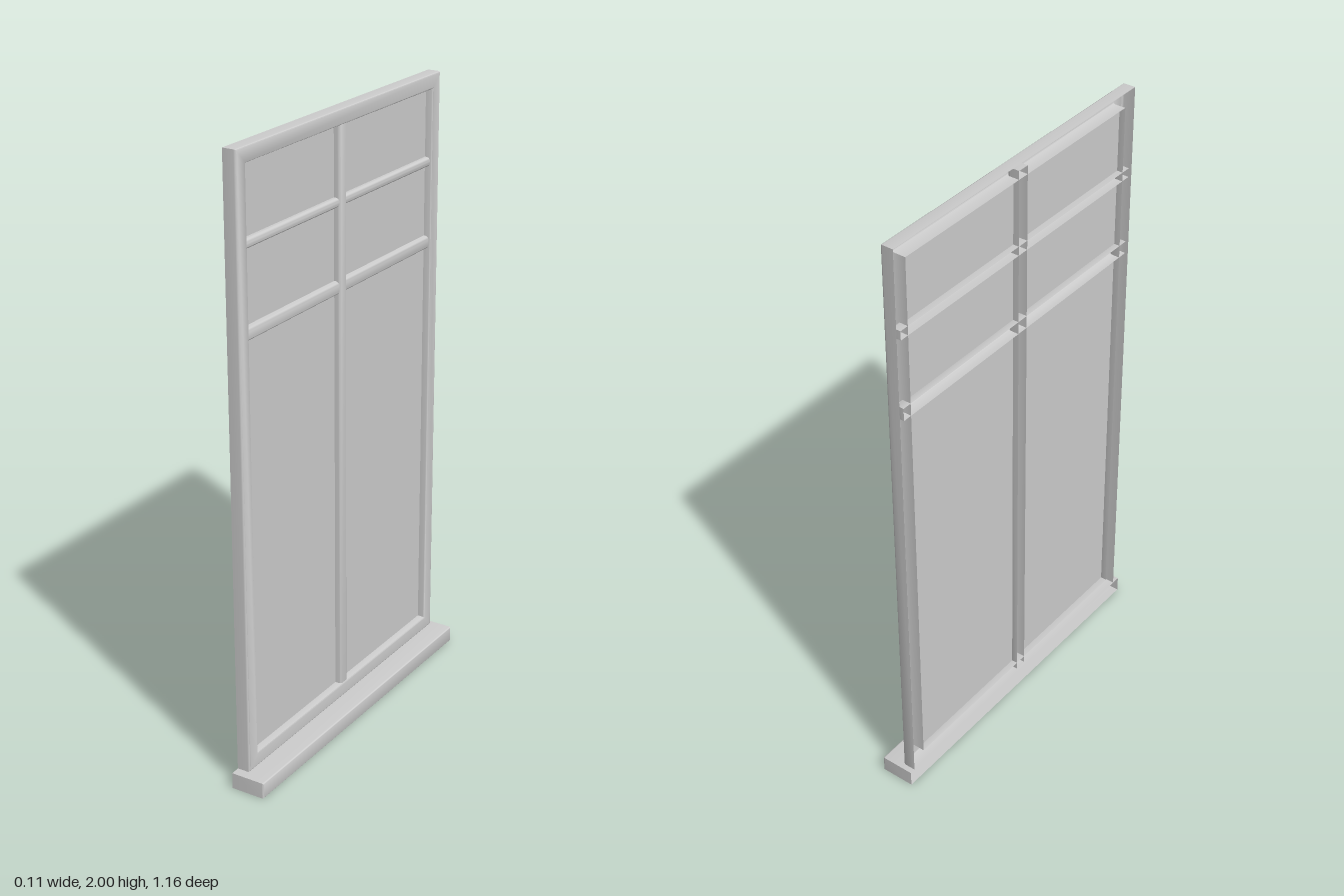
import * as THREE from 'three';
import { toCreasedNormals } from 'three/addons/utils/BufferGeometryUtils.js';

const BACK = -0.06;
const material = new THREE.MeshStandardMaterial({ color: 0xcccccc, side: THREE.DoubleSide });

// Open-backed moulding facing +x with a rounded front edge.
// With an inset it becomes a rectangular frame round an opening, otherwise a solid front.
function shell(z0, z1, y0, y1, front, radius, inset = 0) {
  const steps = 4;
  const profile = [[0, BACK]]; // [distance in from the outline, x]
  for (let i = 0; i <= steps; i++) {
    const a = (i / steps) * Math.PI / 2;
    profile.push([radius * (1 - Math.cos(a)), front - radius * (1 - Math.sin(a))]);
  }
  if (inset) {
    for (let i = 0; i <= steps; i++) {
      const a = (i / steps) * Math.PI / 2;
      profile.push([inset - radius * (1 - Math.sin(a)), front - radius * (1 - Math.cos(a))]);
    }
    profile.push([inset, BACK]);
  }
  const points = [];
  const index = [];
  profile.forEach(([d, x], r) => {
    points.push(x, y0 + d, z1 - d, x, y0 + d, z0 + d, x, y1 - d, z0 + d, x, y1 - d, z1 - d);
    if (r === 0) return;
    for (let i = 0; i < 4; i++) {
      const j = (i + 1) % 4, a = (r - 1) * 4, b = r * 4;
      index.push(a + i, a + j, b + j, a + i, b + j, b + i);
    }
  });
  if (!inset) {
    const c = (profile.length - 1) * 4;
    index.push(c, c + 1, c + 2, c, c + 2, c + 3);
  }
  const geometry = new THREE.BufferGeometry();
  geometry.setAttribute('position', new THREE.Float32BufferAttribute(points, 3));
  geometry.setIndex(index);
  return toCreasedNormals(geometry, Math.PI / 5);
}

export function createModel() {
  const group = new THREE.Group();
  const add = (name, geometry) => {
    const mesh = new THREE.Mesh(geometry, material);
    mesh.name = name;
    group.add(mesh);
    return mesh;
  };

  // Projecting sill and outer frame
  add('sill', shell(-0.58, 0.58, 0, 0.053, 0.055, 0.006));
  add('outerFrame', shell(-0.562, 0.55, 0.054, 2, -0.016, 0.007, 0.048));

  // Upright and cross bars, their ends running into the hollow frame
  const transoms = [[1.435, 1.477], [1.705, 1.735]];
  add('mullion', shell(-0.018, 0.022, 0.075, 1.98, -0.019, 0.009));
  add('lowerTransom', shell(-0.545, 0.535, ...transoms[0], -0.022, 0.013));
  add('upperTransom', shell(-0.545, 0.535, ...transoms[1], -0.022, 0.012));

  // Glass panes between the bars
  const columns = [[-0.514, -0.018], [0.022, 0.502]];
  const rows = [[0.102, 1.435], [1.477, 1.705], [1.735, 1.952]];
  for (const [z0, z1] of columns) {
    for (const [y0, y1] of rows) {
      const pane = add('glassPane', new THREE.PlaneGeometry(z1 - z0, y1 - y0));
      pane.rotation.y = Math.PI / 2;
      pane.position.set(-0.04, (y0 + y1) / 2, (z0 + z1) / 2);
    }
  }
  return group;
}
